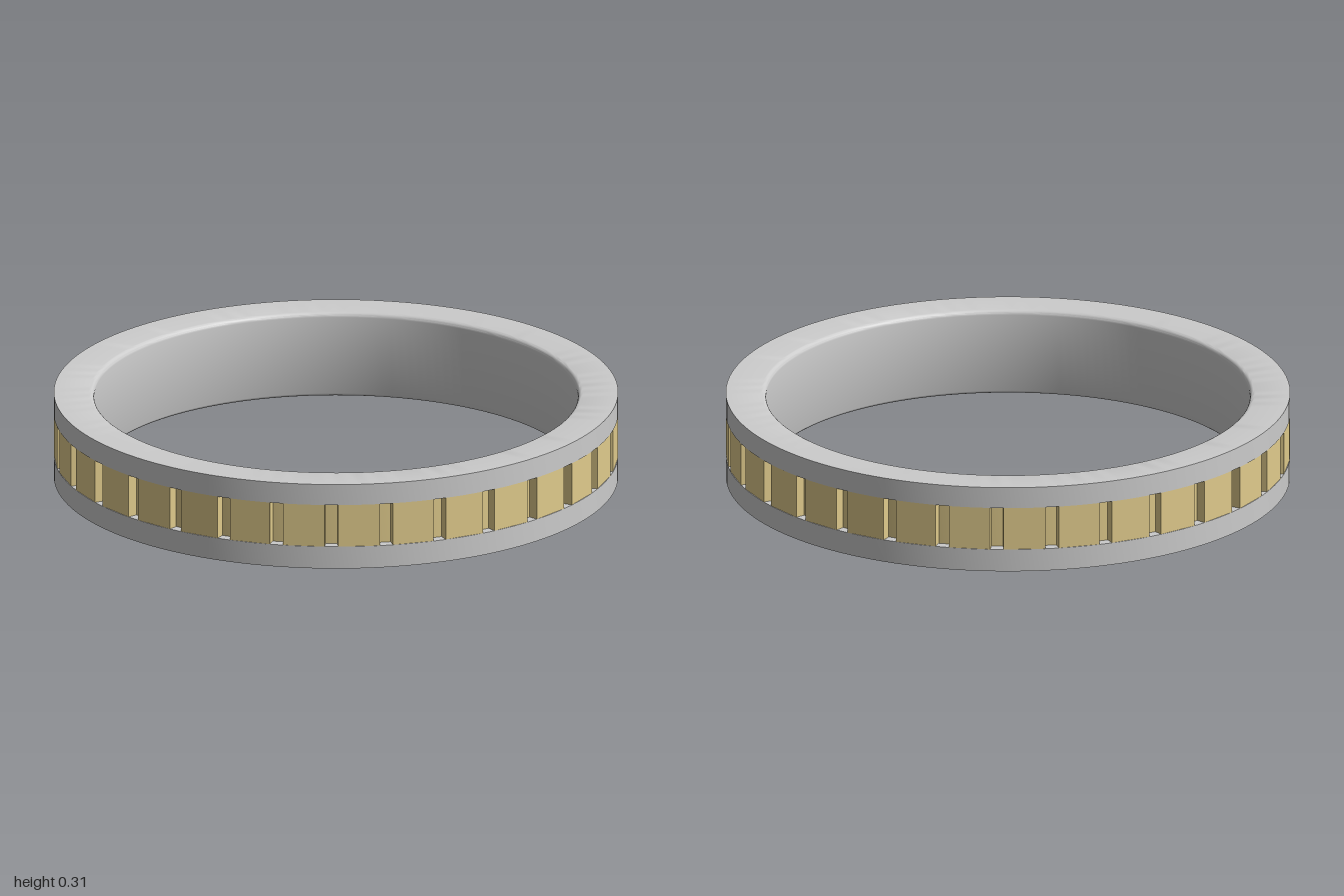
import * as THREE from 'three';
import { toCreasedNormals } from 'three/addons/utils/BufferGeometryUtils.js';

const H = 0.315, R = 1, BORE = 0.857, FILLET = 0.018;
const GROOVE_LOW = 0.082, GROOVE_HIGH = 0.238, FLOOR = 0.965;
const PLATES = 32, SEGMENTS = 160;

// Quarter-round points on a bore edge, from angle a to angle b
function fillet(y, a, b) {
  return Array.from({ length: 6 }, (_, i) => {
    const t = a + (b - a) * i / 5;
    return [BORE + FILLET + FILLET * Math.cos(t), y + FILLET * Math.sin(t)];
  });
}

function lathe(profile, material, name) {
  const points = profile.map(([r, y]) => new THREE.Vector2(r, y));
  const geometry = toCreasedNormals(new THREE.LatheGeometry(points, SEGMENTS), 0.55);
  const mesh = new THREE.Mesh(geometry, material);
  mesh.name = name;
  return mesh;
}

export function createModel() {
  const grey = new THREE.MeshStandardMaterial({ color: 0xcccccc });
  const gold = new THREE.MeshStandardMaterial({ color: 0xe0cb8c });
  const ring = new THREE.Group();
  ring.name = 'ring';

  // Band with a square groove around the outside and softened bore edges
  const start = [BORE + FILLET, 0];
  ring.add(lathe([
    start, [R, 0], [R, GROOVE_LOW], [FLOOR - 0.02, GROOVE_LOW],
    [FLOOR - 0.02, GROOVE_HIGH], [R, GROOVE_HIGH], [R, H],
    ...fillet(H - FILLET, Math.PI / 2, Math.PI),
    ...fillet(FILLET, Math.PI, Math.PI * 1.5),
  ], grey, 'band'));

  // Gold lining on the groove floor
  ring.add(lathe([[FLOOR, GROOVE_LOW], [FLOOR, GROOVE_HIGH]], gold, 'grooveLining'));

  // Gold plates spaced evenly around the groove
  const plates = new THREE.Group();
  plates.name = 'plates';
  const depth = 0.045, outer = 0.997;
  const plateGeometry = new THREE.BoxGeometry(0.148, GROOVE_HIGH - GROOVE_LOW, depth);
  plateGeometry.translate(0, (GROOVE_LOW + GROOVE_HIGH) / 2, outer - depth / 2);
  for (let i = 0; i < PLATES; i++) {
    const plate = new THREE.Mesh(plateGeometry, gold);
    plate.name = 'plate' + (i + 1);
    plate.rotation.y = i * 2 * Math.PI / PLATES;
    plates.add(plate);
  }
  ring.add(plates);
  return ring;
}
